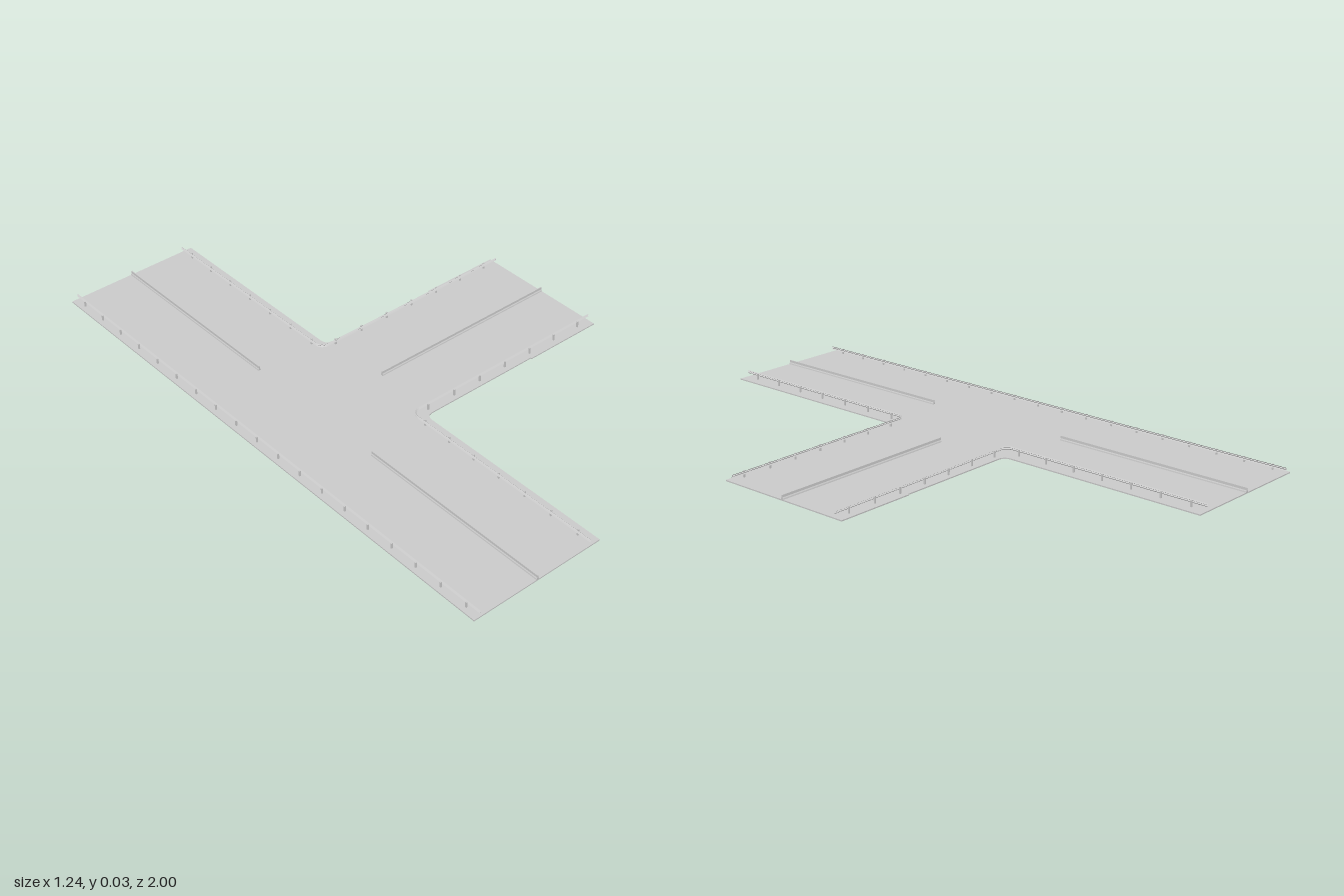
import * as THREE from 'three';

const material = new THREE.MeshStandardMaterial({ color: 0xcccccc, flatShading: true, side: THREE.DoubleSide });
const DECK = 0.004;

function add(parent, geometry, name) {
  const mesh = new THREE.Mesh(geometry, material);
  mesh.name = name;
  parent.add(mesh);
  return mesh;
}

// T-shaped road plate with rounded inner corners
function deckGeometry() {
  const s = new THREE.Shape();
  s.moveTo(-0.62, -1);
  s.lineTo(-0.125, -1);
  s.lineTo(-0.125, -0.275);
  s.quadraticCurveTo(-0.125, -0.247, -0.097, -0.247);
  s.lineTo(0.33, -0.248);
  s.lineTo(0.33, -0.252);
  s.lineTo(0.62, -0.252);
  s.lineTo(0.62, 0.252);
  s.lineTo(0.33, 0.252);
  s.lineTo(0.33, 0.248);
  s.lineTo(-0.097, 0.247);
  s.quadraticCurveTo(-0.125, 0.247, -0.125, 0.275);
  s.lineTo(-0.125, 1);
  s.lineTo(-0.62, 1);
  s.closePath();
  const g = new THREE.ExtrudeGeometry(s, { depth: DECK, bevelEnabled: false, curveSegments: 5 });
  return g.rotateX(-Math.PI / 2);
}

// Corrugated guard beam following a plan path of [x, z]; side = offset sign of the posts
function guardRail(name, path, side, top) {
  const group = new THREE.Group();
  group.name = name;
  const profile = [[0, top], [0.003, top - 0.003], [0, top - 0.005], [0.003, top - 0.008], [0, top - 0.011]];
  const pos = [], index = [];
  const pts = path.map(([x, z]) => new THREE.Vector2(x, z));
  pts.forEach((p, i) => {
    const t = pts[Math.min(i + 1, pts.length - 1)].clone().sub(pts[Math.max(i - 1, 0)]).normalize();
    for (const [d, y] of profile) pos.push(p.x + t.y * d * side, y, p.y - t.x * d * side);
  });
  const n = profile.length;
  for (let i = 0; i < pts.length - 1; i++) {
    for (let j = 0; j < n - 1; j++) {
      const a = i * n + j;
      index.push(a, a + n, a + 1, a + 1, a + n, a + n + 1);
    }
  }
  const g = new THREE.BufferGeometry();
  g.setAttribute('position', new THREE.Float32BufferAttribute(pos, 3));
  g.setIndex(index);
  g.computeVertexNormals();
  add(group, g, 'guardBeam');

  // Evenly spaced posts just behind the beam
  const curve = new THREE.CurvePath();
  for (let i = 0; i < pts.length - 1; i++) curve.add(new THREE.LineCurve(pts[i], pts[i + 1]));
  const count = Math.round(curve.getLength() / 0.107);
  for (let i = 0; i < count; i++) {
    const u = (i + 0.5) / count;
    const p = curve.getPoint(u), t = curve.getTangent(u);
    const h = top - 0.001;
    const post = add(group, new THREE.BoxGeometry(0.005, h, 0.005), 'guardPost');
    post.position.set(p.x + t.y * 0.006 * side, h / 2, p.y - t.x * 0.006 * side);
    post.rotation.y = Math.atan2(t.x, t.y);
  }
  return group;
}

// Median barrier: flared foot and narrow top, running along z
function barrierGeometry(length) {
  const s = new THREE.Shape();
  [[-0.005, 0], [0.005, 0], [0.004, 0.004], [0.002, 0.007], [0.0015, 0.015], [-0.0015, 0.015], [-0.002, 0.007], [-0.004, 0.004]]
    .forEach(([x, y], i) => (i ? s.lineTo(x, y) : s.moveTo(x, y)));
  s.closePath();
  return new THREE.ExtrudeGeometry(s, { depth: length, bevelEnabled: false }).translate(0, DECK, 0);
}

export function createModel() {
  const model = new THREE.Group();
  model.name = 'roadJunction';
  add(model, deckGeometry(), 'roadDeck');

  // Straight rail on the far side, curved rails round both inner corners
  model.add(guardRail('straightRail', [[-0.595, -1], [-0.595, 1]], -1, 0.024));
  for (const m of [-1, 1]) {
    const path = [[-0.165, m]];
    for (let i = 0; i <= 6; i++) {
      const a = (i / 6) * Math.PI / 2;
      path.push([-0.135 - 0.03 * Math.cos(a), m * (0.252 - 0.03 * Math.sin(a))]);
    }
    path.push([0.62, m * 0.222]);
    model.add(guardRail(m > 0 ? 'frontCornerRail' : 'backCornerRail', path, -m, 0.027));
  }

  // Median barriers on the three arms
  add(model, barrierGeometry(0.72), 'frontMedian').position.set(-0.375, 0, 0.28);
  add(model, barrierGeometry(0.72), 'backMedian').position.set(-0.375, 0, -1);
  const branch = add(model, barrierGeometry(0.715), 'branchMedian');
  branch.rotation.y = Math.PI / 2;
  branch.position.x = -0.095;
  return model;
}
